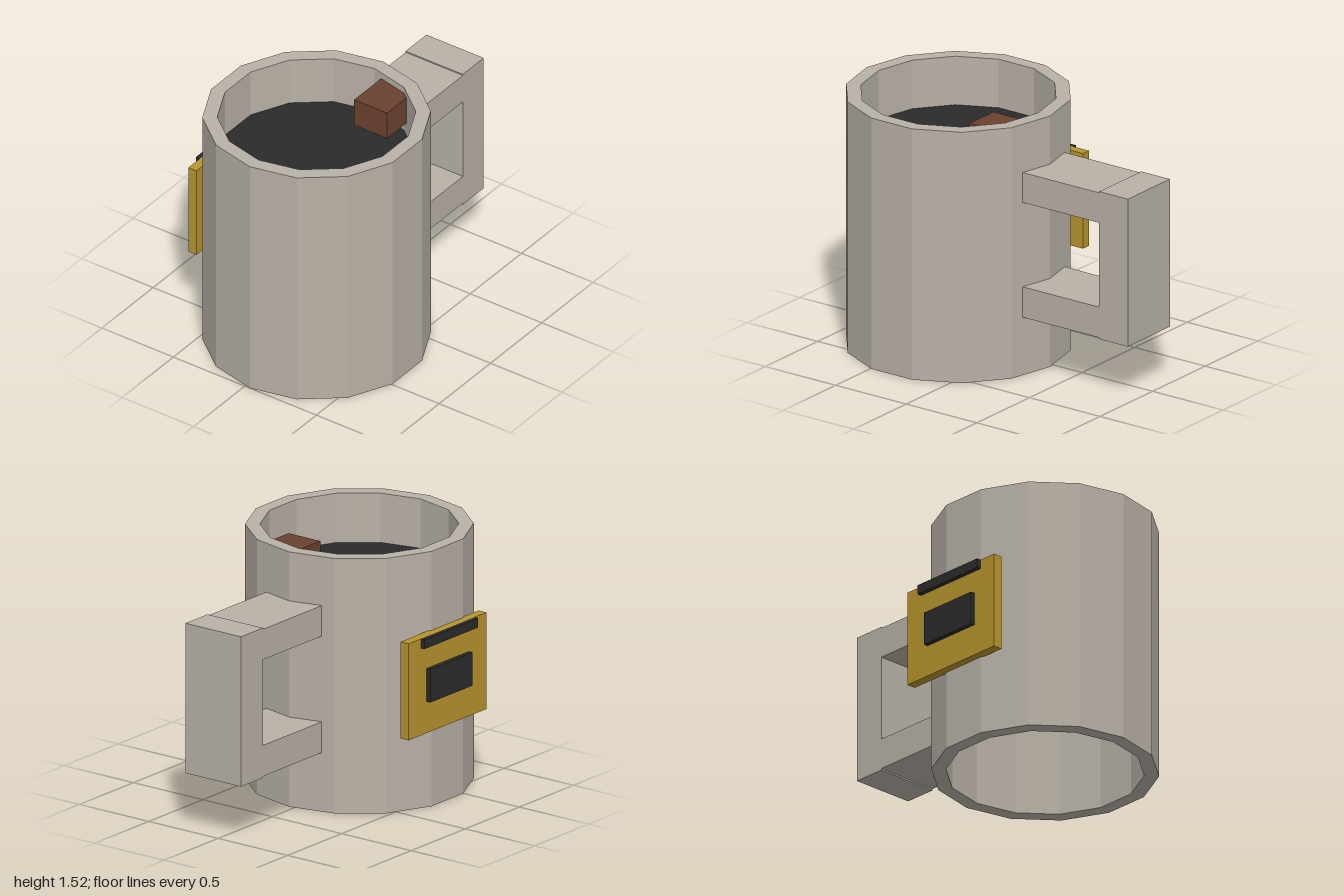
import * as THREE from 'three';

const SIDES = 14;
const CX = -0.35, CZ = 0.035; // axis of the mug body

export function createModel() {
  const model = new THREE.Group();
  model.name = 'mug';

  const material = (name, color) => {
    const m = new THREE.MeshStandardMaterial({ color });
    m.name = name;
    return m;
  };
  const stone = material('warm grey', 0xb8b1a7);
  const dark = material('charcoal', 0x2b2b2b);
  const gold = material('gold', 0xb8952d);
  const brown = material('brown', 0x6b422f);

  const add = (name, geometry, mat, parent = model) => {
    const mesh = new THREE.Mesh(geometry, mat);
    mesh.name = name;
    parent.add(mesh);
    return mesh;
  };
  // Box given by its extents along each axis
  const box = (name, mat, [x0, x1], [y0, y1], [z0, z1], parent) => {
    const mesh = add(name, new THREE.BoxGeometry(x1 - x0, y1 - y0, z1 - z0), mat, parent);
    mesh.position.set((x0 + x1) / 2, (y0 + y1) / 2, (z0 + z1) / 2);
    return mesh;
  };

  // Faceted tube wall, open at both ends
  const profile = [[0.65, 0], [0.65, 1.525], [0.565, 1.525], [0.565, 0], [0.65, 0]];
  const wall = new THREE.LatheGeometry(
    profile.map(([r, y]) => new THREE.Vector2(r, y)), SIDES
  ).toNonIndexed();
  wall.computeVertexNormals();
  wall.rotateY(Math.PI / 2);
  add('body', wall, stone).position.set(CX, 0, CZ);

  // Drink surface and the cube floating above it
  const drink = new THREE.CylinderGeometry(0.565, 0.565, 0.04, SIDES);
  drink.rotateY(Math.PI / 2);
  add('drink', drink, dark).position.set(CX, 1.21, CZ);
  box('cube', brown, [-0.06, 0.2], [1.31, 1.485], [0.09, 0.32]);

  // Square handle
  const handle = new THREE.Group();
  handle.name = 'handle';
  model.add(handle);
  const depth = [-0.165, 0.235];
  box('upperArm', stone, [0.22, 0.8], [1.05, 1.232], depth, handle);
  box('lowerArm', stone, [0.22, 0.8], [0.352, 0.537], depth, handle);
  box('grip', stone, [0.797, 1], [0.343, 1.24], depth, handle);

  // Plaque on the back with its dark details
  const plaque = new THREE.Group();
  plaque.name = 'plaque';
  model.add(plaque);
  box('plate', gold, [-0.652, 0.068], [0.475, 1.053], [-0.645, -0.588], plaque);
  box('topStrip', dark, [-0.54, -0.045], [0.997, 1.053], [-0.672, -0.645], plaque);
  box('panel', dark, [-0.488, -0.1], [0.663, 0.862], [-0.672, -0.645], plaque);

  return model;
}
